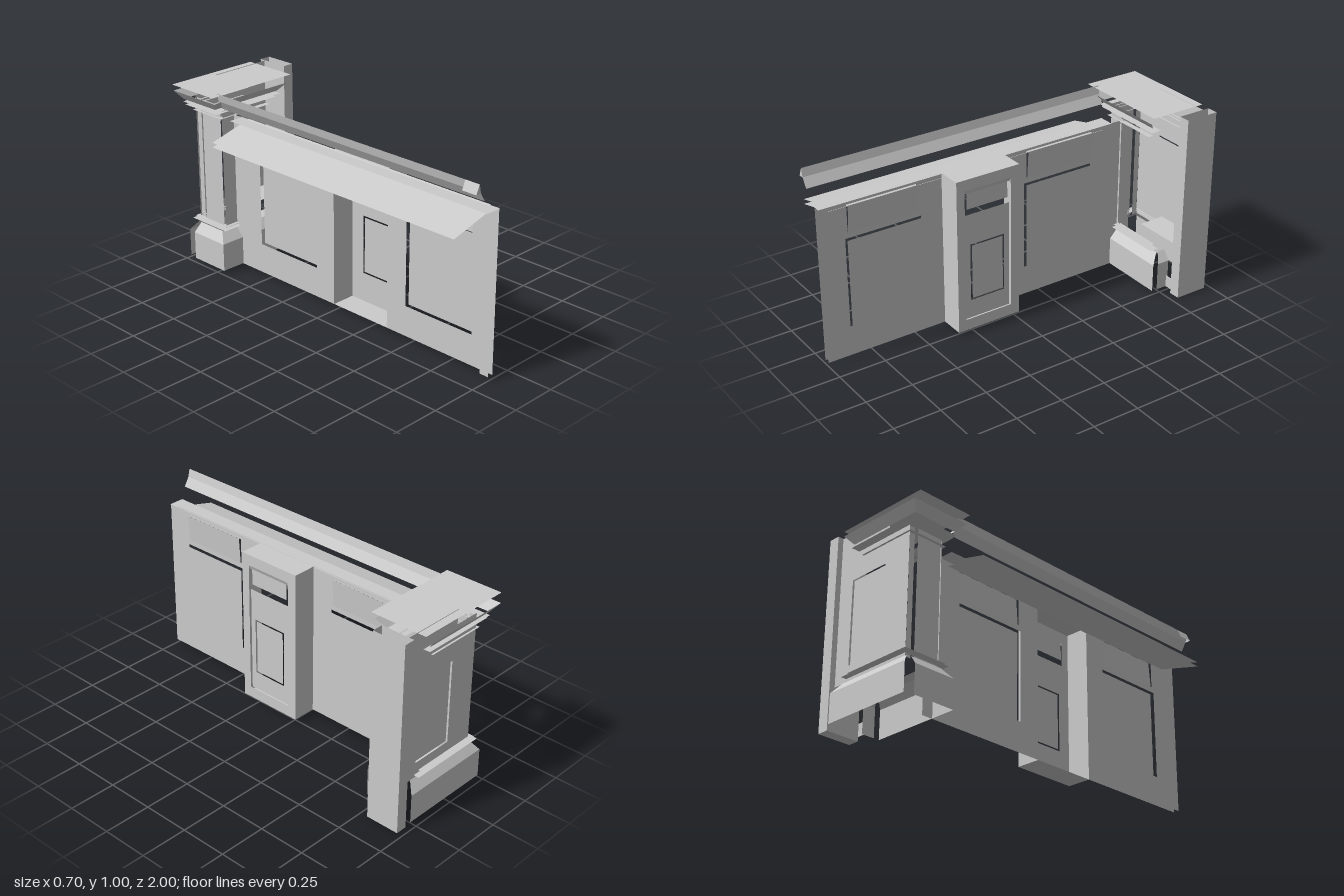
import * as THREE from 'three';

const material = new THREE.MeshStandardMaterial({ color: 0xcccccc, side: THREE.DoubleSide, flatShading: true });

// Four-cornered sheet
function quad(a, b, c, d) {
  const g = new THREE.BufferGeometry();
  g.setAttribute('position', new THREE.Float32BufferAttribute([...a, ...b, ...c, ...a, ...c, ...d], 3));
  g.computeVertexNormals();
  return g;
}
const facingX = (x, z0, z1, y0, y1) => quad([x, y0, z1], [x, y0, z0], [x, y1, z0], [x, y1, z1]);
const facingZ = (z, x0, x1, y0, y1) => quad([x0, y0, z], [x1, y0, z], [x1, y1, z], [x0, y1, z]);
const facingY = (y, x0, x1, z0, z1) => quad([x0, y, z1], [x1, y, z1], [x1, y, z0], [x0, y, z0]);

function rectangle(path, u0, u1, y0, y1) {
  path.moveTo(u0, y0).lineTo(u1, y0).lineTo(u1, y1).lineTo(u0, y1).closePath();
  return path;
}

// Sheet with rectangular openings; bounds are [u0, u1, y0, y1]
function pierced(outer, holes) {
  const shape = rectangle(new THREE.Shape(), ...outer);
  for (const h of holes) shape.holes.push(rectangle(new THREE.Path(), ...h));
  return new THREE.ShapeGeometry(shape);
}
// The same in the z-y plane, facing +x; bounds are [z0, z1, y0, y1]
function piercedX(x, outer, holes) {
  const flip = ([z0, z1, y0, y1]) => [-z1, -z0, y0, y1];
  return pierced(flip(outer), holes.map(flip)).rotateY(Math.PI / 2).translate(x, 0, 0);
}

export function createModel() {
  const model = new THREE.Group();
  const group = (name) => {
    const g = new THREE.Group();
    g.name = name;
    model.add(g);
    return (part, geometry) => {
      const mesh = new THREE.Mesh(geometry, material);
      mesh.name = part;
      g.add(mesh);
    };
  };

  // Long wall: two bays with raised panels
  const wall = group('panelledWall');
  const bays = [
    { span: [0.34, 1], lower: [0.46, 0.87], upper: [0.48, 0.855] },
    { span: [-0.76, -0.02], lower: [-0.55, -0.14], upper: [-0.555, -0.155] },
  ];
  for (const { span, lower, upper } of bays) {
    const low = [...lower, 0.18, 0.655];
    const high = [...upper, 0.685, 0.83];
    wall('wallFrame', piercedX(-0.11, [...span, 0.02, 0.845], [low, high]));
    wall('lowerPanel', facingX(-0.088, ...low));
    wall('upperPanel', quad([-0.105, 0.685, upper[1]], [-0.105, 0.685, upper[0]],
      [-0.095, 0.83, upper[0]], [-0.095, 0.83, upper[1]]));
  }
  wall('endStrip', facingX(-0.14, 0.95, 1, 0.02, 0.84));
  wall('wallLedge', facingY(0.845, -0.19, -0.105, -0.68, 1));

  // Two sloping counter sheets behind the wall
  for (const drop of [0, 0.025]) {
    wall('counterSheet', quad([-0.35, 0.785 - drop, 0.95], [-0.105, 0.848 - drop, 0.95],
      [-0.105, 0.848 - drop, -0.63], [-0.35, 0.785 - drop, -0.63]));
  }

  // Hand rail
  const rail = group('handRail');
  const profile = [[-0.25, 1], [-0.24, 0.957], [-0.212, 0.91]];
  for (let i = 0; i < 2; i++) {
    const [[x0, y0], [x1, y1]] = [profile[i], profile[i + 1]];
    rail('railFace', quad([x1, y1, 1], [x1, y1, -0.7], [x0, y0, -0.7], [x0, y0, 1]));
  }
  rail('railEnd', quad([-0.27, 0.955, 1], [-0.24, 0.955, 1], [-0.25, 1, 1], [-0.25, 1, 1]));
  rail('railEndSide', quad([-0.27, 0.955, 0.92], [-0.27, 0.955, 1], [-0.25, 1, 1], [-0.25, 1, 0.92]));

  // Pilaster between the bays
  const pilaster = group('pilaster');
  pilaster('pilasterFront', piercedX(0.02, [-0.02, 0.34, 0.02, 0.848],
    [[0.03, 0.295, 0.08, 0.79]]));
  for (const z of [-0.02, 0.34]) pilaster('pilasterSide', facingZ(z, -0.11, 0.02, 0.02, 0.848));
  for (const y of [0.02, 0.848]) pilaster('pilasterCap', facingY(y, -0.11, 0.02, -0.02, 0.34));
  pilaster('upperPanel', facingX(0.012, 0.045, 0.28, 0.685, 0.785));
  pilaster('panelHood', quad([0.012, 0.77, 0.295], [0.012, 0.77, 0.03], [0.02, 0.79, 0.03], [0.02, 0.79, 0.295]));
  pilaster('lowerPanel', piercedX(0.012, [0.035, 0.29, 0.08, 0.655], [[0.065, 0.262, 0.18, 0.49]]));
  pilaster('innerPanel', facingX(0.012, 0.073, 0.252, 0.188, 0.482));

  // Column shell, open to the front
  const column = group('column');
  const inset = [-0.03, 0.2, 0.3, 0.74];
  column('backWall', pierced([-0.19, 0.29, 0.22, 0.92], [inset]).translate(0, 0, -0.94));
  column('backInset', facingZ(-0.93, ...inset));
  column('upperBackWall', facingZ(-0.94, -0.05, 0.29, 0.9, 0.998));
  column('sideWall', facingX(-0.19, -0.89, -0.75, 0.22, 0.91));
  column('sideEdge', facingX(-0.185, -0.935, -0.905, 0.22, 0.91));
  column('frontEdge', facingZ(-0.74, -0.185, -0.1, 0.22, 0.91));
  column('innerStile', facingX(-0.1, -0.8, -0.75, 0.25, 0.85));

  // Cap slab and the mouldings below it
  const cap = group('columnCap');
  cap('capSlab', facingY(0.995, -0.305, 0.23, -0.985, -0.675));
  const t = { x: [-0.285, 0.21], z: [-1, -0.68], y: 0.955 };
  const b = { x: [-0.25, 0.172], z: [-0.965, -0.72], y: 0.91 };
  for (const k of [0, 1]) {
    cap('slopedMoulding', quad([b.x[0], b.y, b.z[k]], [b.x[1], b.y, b.z[k]],
      [t.x[1], t.y, t.z[k]], [t.x[0], t.y, t.z[k]]));
  }
  cap('leftMoulding', quad([b.x[0], b.y, b.z[0]], [b.x[0], b.y, b.z[1]],
    [t.x[0], t.y, t.z[1]], [t.x[0], t.y, t.z[0]]));

  // Thin bands: [y, left, right, outward reach]
  const bands = [[0.895, -0.25, 0.185, 0.03], [0.88, -0.245, 0.165, 0.02], [0.845, -0.205, 0.13, 0.01],
    [0.25, -0.21, 0.18, 0.02], [0.237, -0.22, 0.21, 0.03]];
  for (const [y, x0, x1, reach] of bands) {
    column('frontBand', facingY(y, x0, x1, -0.76, -0.74 + reach));
    column('backBand', facingY(y, x0, x1, -0.94 - reach, -0.93));
    column('sideBand', facingY(y, x0, -0.185, -0.93, -0.75));
  }
  column('innerShelf', quad([0.02, 0.285, -0.8], [0.29, 0.288, -0.8], [0.29, 0.292, -0.94], [0.02, 0.288, -0.94]));

  // Plinth with sloped shoulders
  const plinth = group('plinth');
  const low = 0.022, mid = 0.172, high = 0.222;
  for (const [z, zi, x0, x1] of [[-0.7, -0.745, -0.245, 0.25], [-0.98, -0.94, -0.235, 0.27]]) {
    plinth('skirt', facingZ(z, x0, x1, low, mid));
    plinth('shoulder', quad([x0, mid, z], [x1, mid, z], [x1 - 0.035, high, zi], [x0 + 0.035, high, zi]));
  }
  plinth('leftSkirt', facingX(-0.245, -0.93, -0.7, low, mid));
  plinth('leftShoulder', quad([-0.245, mid, -0.93], [-0.245, mid, -0.7], [-0.205, high, -0.745], [-0.205, high, -0.92]));
  plinth('rightSkirt', facingX(0.25, -0.8, -0.73, low, mid));
  plinth('rightShoulder', quad([0.25, mid, -0.8], [0.25, mid, -0.73], [0.213, high, -0.76], [0.213, high, -0.8]));
  plinth('postLink', facingZ(-0.79, 0.25, 0.29, low, 0.088));

  // End post, hollow and open at the top
  const post = group('endPost');
  for (const x of [0.29, 0.35]) post('postSide', facingX(x, -0.97, -0.79, 0, 1));
  for (const z of [-0.97, -0.79]) post('postFace', facingZ(z, 0.29, 0.35, 0, 1));
  post('postBottom', facingY(0, 0.29, 0.35, -0.97, -0.79));

  return model;
}
